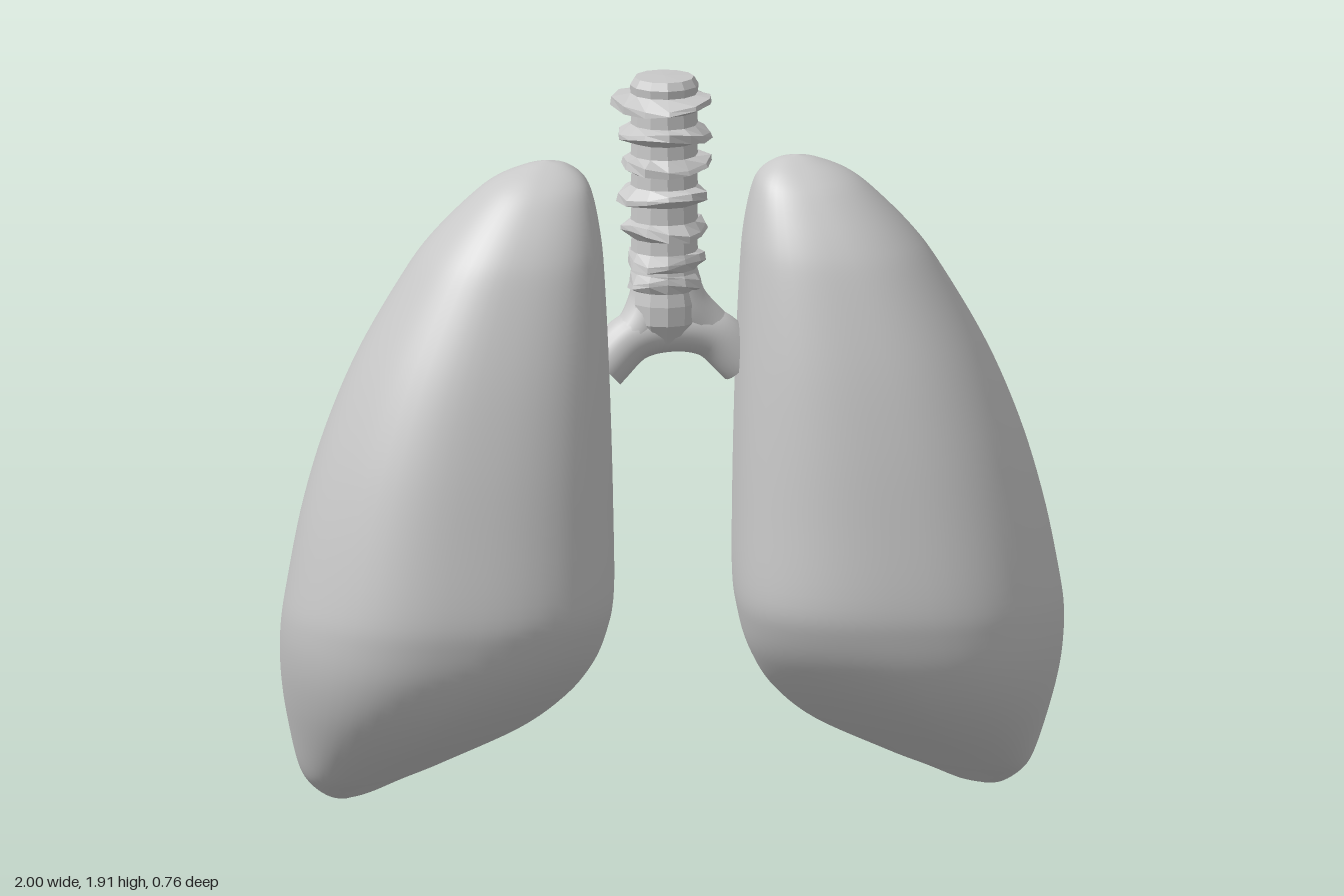
import * as THREE from 'three';

const tissue = new THREE.MeshStandardMaterial({ color: 0xc8c8c8 });
tissue.name = 'pale grey tissue';
const cartilage = tissue.clone();
cartilage.name = 'pale grey cartilage';
cartilage.flatShading = true;

// Lung levels: y, inner x, outer x, back z, front z
const levels = [
  [0, 0.8, 0.82, -0.21, -0.19],
  [0.012, 0.75, 0.87, -0.245, -0.13],
  [0.05, 0.67, 0.915, -0.27, -0.05],
  [0.1, 0.56, 0.94, -0.3, 0.045],
  [0.2, 0.37, 0.965, -0.335, 0.185],
  [0.3, 0.26, 0.985, -0.36, 0.285],
  [0.4, 0.2, 0.997, -0.37, 0.345],
  [0.5, 0.17, 0.998, -0.375, 0.373],
  [0.6, 0.157, 0.985, -0.375, 0.38],
  [0.8, 0.158, 0.945, -0.367, 0.357],
  [1.0, 0.162, 0.885, -0.347, 0.327],
  [1.2, 0.168, 0.8, -0.316, 0.285],
  [1.4, 0.177, 0.685, -0.26, 0.225],
  [1.5, 0.185, 0.612, -0.22, 0.182],
  [1.6, 0.203, 0.515, -0.155, 0.118],
  [1.65, 0.225, 0.45, -0.11, 0.07],
  [1.682, 0.268, 0.375, -0.06, 0.02],
  [1.693, 0.315, 0.325, -0.025, -0.015],
];

function lungGeometry(side) {
  const rows = 90, cols = 56;
  const innerBack = new THREE.CatmullRomCurve3(
    levels.map(l => new THREE.Vector3(l[1], l[0], l[3])), false, 'catmullrom');
  const outerFront = new THREE.CatmullRomCurve3(
    levels.map(l => new THREE.Vector3(l[2], l[0], l[4])), false, 'catmullrom');
  const pos = [], idx = [];
  for (let i = 0; i <= rows; i++) {
    const a = innerBack.getPoint(i / rows), b = outerFront.getPoint(i / rows);
    // The slanted base pulls the low sections toward the outer back corner
    const low = 1 - THREE.MathUtils.smoothstep(a.y, 0.05, 0.6);
    const cx = THREE.MathUtils.lerp(a.x, b.x, 0.5 + 0.16 * low);
    const cz = THREE.MathUtils.lerp(a.z, b.z, 0.5 - 0.16 * low);
    for (let j = 0; j < cols; j++) {
      const t = j / cols * Math.PI * 2, c = Math.cos(t), s = Math.sin(t);
      let n = 2.15 + 0.3 * (1 - c);
      if (c < 0 && s > 0) n -= 1.3 * low * Math.min(1, -4 * c * s);
      const r = Math.pow(Math.pow(Math.abs(c), n) + Math.pow(Math.abs(s), n), -1 / n);
      pos.push(side * (cx + r * c * (c > 0 ? b.x - cx : cx - a.x)), a.y,
        cz + r * s * (s > 0 ? b.z - cz : cz - a.z));
    }
  }
  const face = (p, q, r) => side > 0 ? idx.push(p, q, r) : idx.push(p, r, q);
  for (let i = 0; i < rows; i++) {
    for (let j = 0; j < cols; j++) {
      const k = (j + 1) % cols, p = i * cols + j, q = i * cols + k;
      face(p, p + cols, q);
      face(q, p + cols, q + cols);
    }
  }
  // Close the base and the apex
  const top = rows * cols;
  for (let j = 1; j < cols - 1; j++) {
    face(0, j, j + 1);
    face(top, top + j + 1, top + j);
  }
  const g = new THREE.BufferGeometry();
  g.setAttribute('position', new THREE.Float32BufferAttribute(pos, 3));
  g.setIndex(idx);
  g.computeVertexNormals();
  return g;
}

function addMesh(group, name, geometry, material) {
  const mesh = new THREE.Mesh(geometry, material);
  mesh.name = name;
  group.add(mesh);
  return mesh;
}

// Ridged windpipe: a slim core with a sharp, slightly uneven ridge per ring
function windpipeGeometry() {
  const pts = [[0, 1.2], [0.06, 1.22], [0.088, 1.27], [0.09, 1.32], [0.082, 1.36]];
  const rings = [[1.375, 0.095], [1.43, 0.1], [1.51, 0.112], [1.6, 0.116],
    [1.68, 0.116], [1.76, 0.12], [1.84, 0.13]];
  for (const [y, r] of rings) {
    pts.push([0.084, y - 0.022], [r, y - 0.008], [r - 0.003, y + 0.008], [0.086, y + 0.024]);
  }
  pts.push([0.088, 1.885], [0.076, 1.905], [0, 1.908]);
  const g = new THREE.LatheGeometry(pts.map(p => new THREE.Vector2(...p)), 12);
  const p = g.attributes.position;
  for (let i = 0; i < p.count; i++) {
    const x = p.getX(i), y = p.getY(i), z = p.getZ(i);
    const r = Math.hypot(x, z), a = Math.atan2(z, x);
    const uneven = r > 0.092 ? 1 + 0.07 * Math.sin(3 * a + y * 23) : 1;
    const tilt = r > 0.092 ? 0.012 * Math.sin(2 * a + y * 31) : 0;
    p.setXYZ(i, x * uneven, y + tilt, z * uneven);
  }
  g.computeVertexNormals();
  return g;
}

export function createModel() {
  const model = new THREE.Group();
  model.name = 'lungs and windpipe';

  addMesh(model, 'leftLung', lungGeometry(1), tissue);
  addMesh(model, 'rightLung', lungGeometry(-1), tissue);

  const windpipe = addMesh(model, 'windpipe', windpipeGeometry(), cartilage);
  windpipe.position.set(-0.02, 0, -0.02);

  // Arched airway branches joining the lungs
  const arch = new THREE.CatmullRomCurve3([
    [-0.18, 1.155, 0], [-0.1, 1.23, -0.01], [0, 1.25, -0.02],
    [0.1, 1.23, -0.03], [0.18, 1.155, -0.035],
  ].map(p => new THREE.Vector3(...p)));
  addMesh(model, 'bronchi', new THREE.TubeGeometry(arch, 32, 0.064, 20), tissue);
  for (const [name, t] of [['rightBronchusEnd', 0], ['leftBronchusEnd', 1]]) {
    const cap = addMesh(model, name, new THREE.CircleGeometry(0.064, 20), tissue);
    const out = arch.getTangent(t).multiplyScalar(t ? 1 : -1);
    cap.position.copy(arch.getPoint(t));
    cap.quaternion.setFromUnitVectors(new THREE.Vector3(0, 0, 1), out);
  }

  // Sloping shoulders where the windpipe splits
  for (const side of [-1, 1]) {
    const slope = new THREE.CatmullRomCurve3([
      [side * 0.025 - 0.015, 1.37, -0.02], [side * 0.045 - 0.01, 1.31, -0.02],
      [side * 0.085, 1.25, -0.02 - side * 0.01], [side * 0.15, 1.185, -0.02 - side * 0.015],
    ].map(p => new THREE.Vector3(...p)));
    addMesh(model, side > 0 ? 'leftShoulder' : 'rightShoulder',
      new THREE.TubeGeometry(slope, 20, 0.06, 18), tissue);
  }
  return model;
}
